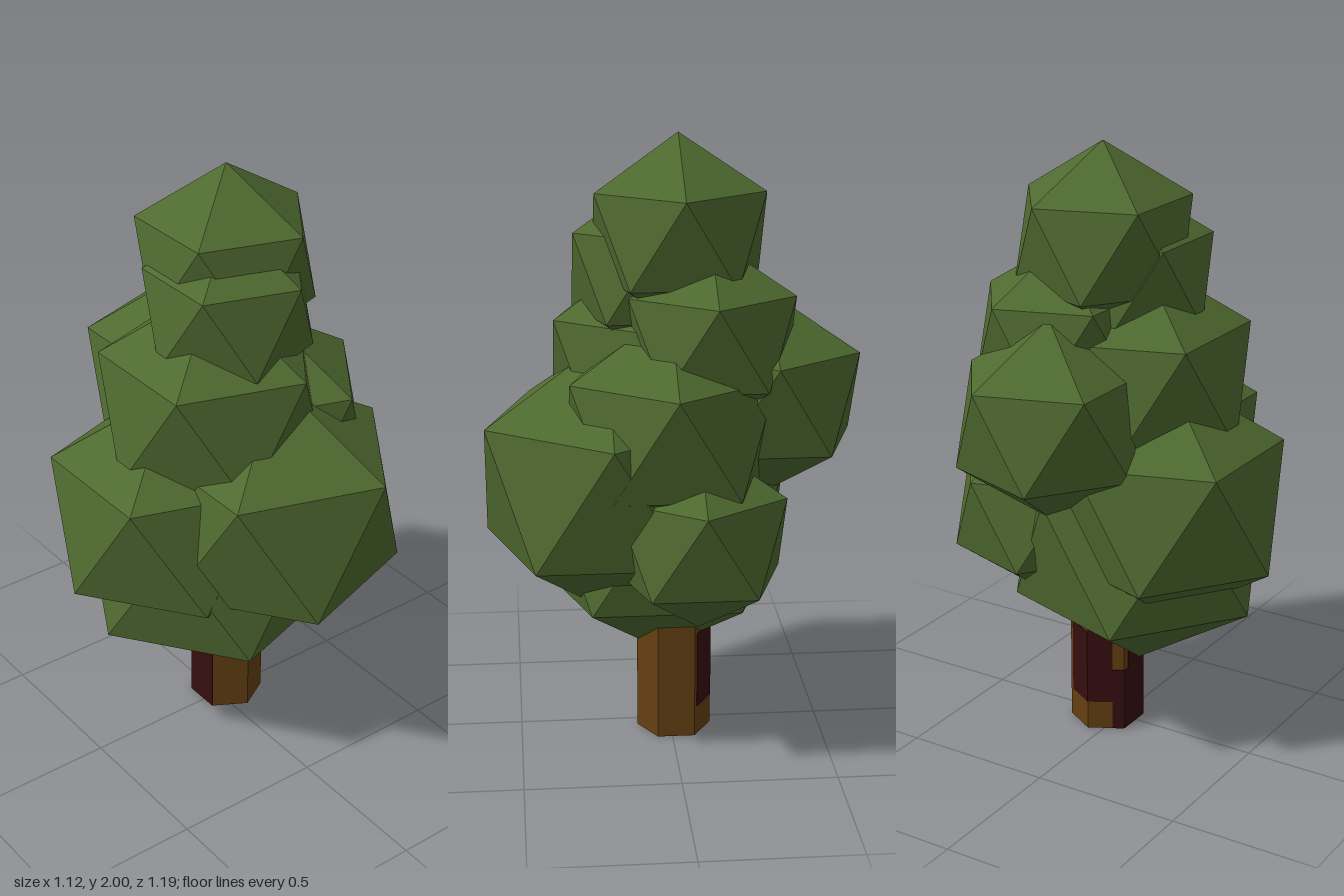
import * as THREE from 'three';

export function createModel() {
  const tree = new THREE.Group();
  tree.name = 'tree';
  const leafGreen = new THREE.MeshStandardMaterial({ name: 'leafGreen', color: 0x4f6a30 });
  const barkBrown = new THREE.MeshStandardMaterial({ name: 'barkBrown', color: 0x644012 });
  const barkDarkRed = new THREE.MeshStandardMaterial({ name: 'barkDarkRed', color: 0x360d0f });

  // Crown: faceted clumps, each an icosahedron standing on a corner
  const clump = new THREE.IcosahedronGeometry(1, 0);
  clump.rotateZ(-Math.atan(2 / (1 + Math.sqrt(5))));
  const clumps = [ // name, x, y, z, radius
    ['topClump', 0.05, 1.684, -0.025, 0.316],
    ['upperFrontClump', 0, 1.56, 0.055, 0.298],
    ['upperLeftClump', 0.15, 1.377, -0.117, 0.307],
    ['middleRightClump', -0.052, 1.232, 0.035, 0.397],
    ['middleLeftClump', 0.178, 1.086, 0.01, 0.378],
    ['backClump', 0.068, 1.161, -0.312, 0.333],
    ['lowerRightClump', -0.183, 0.855, -0.018, 0.425],
    ['frontClump', 0.072, 0.888, 0.205, 0.462],
    ['lowerLeftClump', 0.276, 0.757, -0.072, 0.316],
    ['bottomClump', -0.057, 0.689, 0.026, 0.46],
  ];
  const crown = new THREE.Group();
  crown.name = 'crown';
  for (const [name, x, y, z, radius] of clumps) {
    const mesh = new THREE.Mesh(clump, leafGreen);
    mesh.name = name;
    mesh.position.set(x, y, z);
    mesh.scale.setScalar(radius);
    crown.add(mesh);
  }
  tree.add(crown);

  // Six-sided trunk, running up into the crown
  const R = 0.1225, height = 0.55;
  const trunk = new THREE.Group();
  trunk.name = 'trunk';
  trunk.position.set(0.048, 0, -0.0125);
  const stemGeometry = new THREE.CylinderGeometry(R, R, height, 6).toNonIndexed();
  stemGeometry.computeVertexNormals();
  const stem = new THREE.Mesh(stemGeometry, barkBrown);
  stem.name = 'stem';
  stem.position.y = height / 2;
  trunk.add(stem);

  // Dark bark patches: thin plates on the rear sides (u runs across a side)
  const apothem = R * Math.cos(Math.PI / 6);
  const half = R / 2;
  const patches = [ // side angle in degrees, u from, u to, y from, y to
    [150, -0.045, half, 0.1, 0.36],
    [210, -half, 0.022, 0.1, 0.45],
    [210, 0.022, half, 0, 0.22],
    [270, -half, -0.038, 0, 0.22],
    [270, -0.038, half, 0, 0.45],
  ];
  for (const [degrees, u0, u1, y0, y1] of patches) {
    const plate = new THREE.BoxGeometry(u1 - u0, y1 - y0, 0.004);
    plate.translate((u0 + u1) / 2, (y0 + y1) / 2, apothem);
    const mesh = new THREE.Mesh(plate, barkDarkRed);
    mesh.name = 'barkPatch';
    mesh.rotation.y = THREE.MathUtils.degToRad(degrees);
    trunk.add(mesh);
  }
  tree.add(trunk);
  return tree;
}
